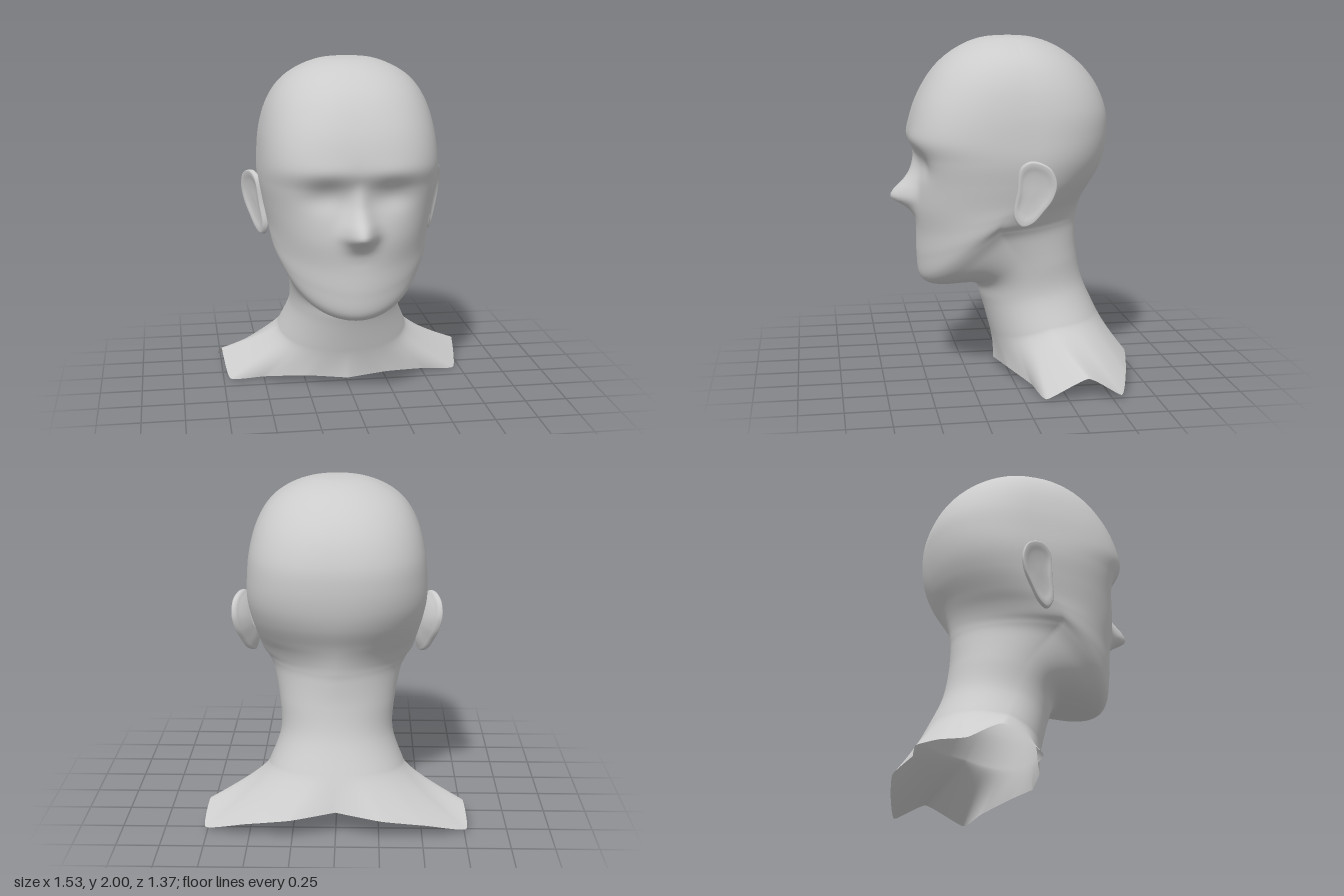
import * as THREE from 'three';

const material = new THREE.MeshStandardMaterial({ color: 0xcccccc, side: THREE.DoubleSide });
const lerp = THREE.MathUtils.lerp;
const COLS = 192;

// Skin over rows of points; every row is a closed loop of `cols` points.
function loft(rows, cols, at) {
  const pos = [], index = [];
  for (let i = 0; i < rows; i++)
    for (let j = 0; j < cols; j++) pos.push(...at(i, j));
  for (let i = 0; i < rows - 1; i++)
    for (let j = 0; j < cols; j++) {
      const k = (j + 1) % cols;
      const a = i * cols + j, b = i * cols + k, c = a + cols, d = b + cols;
      index.push(a, c, b, b, c, d);
    }
  const g = new THREE.BufferGeometry();
  g.setAttribute('position', new THREE.Float32BufferAttribute(pos, 3));
  g.setIndex(index);
  g.computeVertexNormals();
  return g;
}

// Tilted rings from the crown down:
// front y, z, squareness | side x, y, z | back y, z, squareness
const skullRings = [
  [2.0, -0.03, 2, 0, 2.0, -0.03, 2.0, -0.03, 2],
  [1.99, 0.12, 2, 0.16, 1.987, -0.03, 1.987, -0.17, 2],
  [1.95, 0.24, 2.1, 0.3, 1.93, -0.04, 1.935, -0.31, 2],
  [1.87, 0.36, 2.3, 0.4, 1.85, -0.06, 1.84, -0.44, 2.1],
  [1.76, 0.455, 2.5, 0.47, 1.73, -0.08, 1.72, -0.535, 2.2],
  [1.6, 0.535, 2.8, 0.51, 1.58, -0.1, 1.58, -0.59, 2.3],
  [1.43, 0.573, 3, 0.525, 1.42, -0.1, 1.45, -0.6, 2.3],
  [1.3, 0.543, 2.9, 0.525, 1.3, -0.1, 1.32, -0.585, 2.2],
];
const jawRings = [
  [1.15, 0.53, 2.7, 0.505, 1.18, -0.08, 1.21, -0.55, 2.05],
  [1.0, 0.54, 2.35, 0.482, 1.07, -0.02, 1.1, -0.49, 1.9],
  [0.85, 0.53, 2.05, 0.47, 1.0, 0.05, 1.03, -0.46, 1.78],
  [0.7, 0.53, 1.9, 0.455, 0.94, 0.09, 0.97, -0.443, 1.72],
  [0.57, 0.51, 1.9, 0.425, 0.9, 0.09, 0.92, -0.435, 1.75],
  [0.525, 0.42, 2, 0.385, 0.83, 0.04, 0.86, -0.43, 1.85],
  [0.53, 0.2, 2, 0.345, 0.67, -0.08, 0.72, -0.435, 2],
  [0.43, 0.145, 2, 0.335, 0.49, -0.14, 0.54, -0.47, 2.1],
  [0.22, 0.085, 2.1, 0.4, 0.32, -0.21, 0.35, -0.555, 2.2],
];
const rings = [...skullRings, ...jawRings], LAST = rings.length - 1;

function catmull(a, b, c, d, t) {
  const m0 = (c - a) / 2, m1 = (d - b) / 2, t2 = t * t, t3 = t2 * t;
  return (2 * t3 - 3 * t2 + 1) * b + (t3 - 2 * t2 + t) * m0 + (3 * t2 - 2 * t3) * c + (t3 - t2) * m1;
}

function ringAt(u) {
  const i = Math.min(Math.floor(u), LAST - 1);
  const r = k => rings[Math.min(Math.max(k, 0), LAST)];
  return rings[0].map((_, n) => catmull(r(i - 1)[n], r(i)[n], r(i + 1)[n], r(i + 2)[n], u - i));
}

// Superellipse quarters, with height blending from side to front or back
function ringPoint(r, angle) {
  const s = Math.sin(angle), c = Math.cos(angle), front = c > 0;
  const n = front ? r[2] : r[8];
  const k = 1 / (Math.abs(s) ** n + Math.abs(c) ** n) ** (1 / n);
  const f = Math.abs(c) * k;
  return [r[3] * s * k, lerp(r[4], front ? r[0] : r[6], f), lerp(r[5], front ? r[1] : r[7], f)];
}

// Nose, eye sockets and brow relief, pushed along z
const noseHeights = [0, 0, 0.01, 0.026, 0.048, 0.085, 0.133, 0.142, 0.06, 0.012, 0, 0];
function noseHeight(y) {
  const u = (1.4 - y) / 0.05, i = Math.floor(u), h = k => noseHeights[k] ?? 0;
  return catmull(h(i - 1), h(i), h(i + 1), h(i + 2), u - i);
}
const bump = (x, y, cx, cy, sx, sy) => Math.exp(-(((x - cx) / sx) ** 2) - ((y - cy) / sy) ** 2);
function faceRelief(x, y) {
  const ax = Math.abs(x);
  const width = lerp(0.045, 0.085, THREE.MathUtils.smoothstep(1.33 - y, 0, 0.28));
  const nose = noseHeight(y) * Math.exp(-((ax / width) ** 2.2));
  const socket = -0.042 * bump(ax, y, 0.18, 1.265, 0.13, 0.09);
  const brow = 0.008 * bump(ax, y, 0.18, 1.41, 0.16, 0.06);
  return nose + socket + brow;
}

// Open lower edge of the shoulders, front centre to back centre
const edge = new THREE.CatmullRomCurve3([
  [0, 0.04, 0.07], [0.25, 0.05, 0.02], [0.5, 0.02, -0.08], [0.71, 0, -0.13], [0.75, 0.12, -0.36],
  [0.76, 0.02, -0.55], [0.52, 0.08, -0.635], [0.26, 0.13, -0.69], [0, 0.16, -0.64],
].map(p => new THREE.Vector3(...p)), false, 'catmullrom', 0.25);

function bustGeometry() {
  const headRows = 161, flareRows = 24;
  const base = ringAt(LAST), above = ringAt(LAST - 0.3);
  const cache = [];
  for (let i = 0; i < headRows; i++) cache.push(ringAt((i / (headRows - 1)) * LAST));
  return loft(headRows + flareRows, COLS, (i, j) => {
    const angle = (j / COLS) * Math.PI * 2;
    if (i < headRows) {
      const [x, y, z] = ringPoint(cache[i], angle);
      return [x, y, Math.cos(angle) > 0 ? z + faceRelief(x, y) : z];
    }
    // Shoulders leave the neck along its own slope and curve out to the edge
    const s = (i - headRows + 1) / flareRows;
    const a = ringPoint(base, angle), p = ringPoint(above, angle);
    const right = angle > Math.PI;
    const e = edge.getPoint((right ? 2 * Math.PI - angle : angle) / Math.PI);
    const end = [right ? -e.x : e.x, e.y, e.z];
    return a.map((v, n) => {
      const mid = v + 1.5 * (v - p[n]);
      return lerp(lerp(v, mid, s), lerp(mid, end[n], s), s);
    });
  });
}

// Ear: one outline scaled into a dished outer face, a rim and a rounded back
function earGeometry() {
  const outline = new THREE.CatmullRomCurve3([
    [1.33, -0.07], [1.29, -0.01], [1.14, 0.01], [1.0, 0.022], [0.945, -0.02],
    [0.965, -0.075], [1.04, -0.135], [1.12, -0.185], [1.21, -0.203], [1.295, -0.165],
  ].map(([y, z]) => new THREE.Vector3(0, y, z)), true);
  const section = new THREE.CatmullRomCurve3([
    [0, 0.004], [0.35, 0.004], [0.65, 0.009], [0.87, 0.018], [0.98, 0.012],
    [0.99, -0.004], [0.88, -0.022], [0.65, -0.045], [0.4, -0.06],
  ].map(([s, h]) => new THREE.Vector3(s, h, 0)));
  const rows = 33, cols = 64;
  return loft(rows, cols, (i, j) => {
    const p = outline.getPoint(j / cols), q = section.getPoint(i / (rows - 1));
    const y = lerp(1.15, p.y, q.x), z = lerp(-0.08, p.z, q.x);
    return [0.5 + 0.42 * (0.02 - z) + 0.1 * (y - 1.15) + q.y, y, z];
  });
}

export function createModel() {
  const model = new THREE.Group();
  model.name = 'headBust';
  const add = (name, geometry) => {
    const mesh = new THREE.Mesh(geometry, material);
    mesh.name = name;
    model.add(mesh);
    return mesh;
  };
  add('headAndNeck', bustGeometry());
  const ear = earGeometry();
  add('leftEar', ear);
  add('rightEar', ear).scale.x = -1;
  return model;
}
